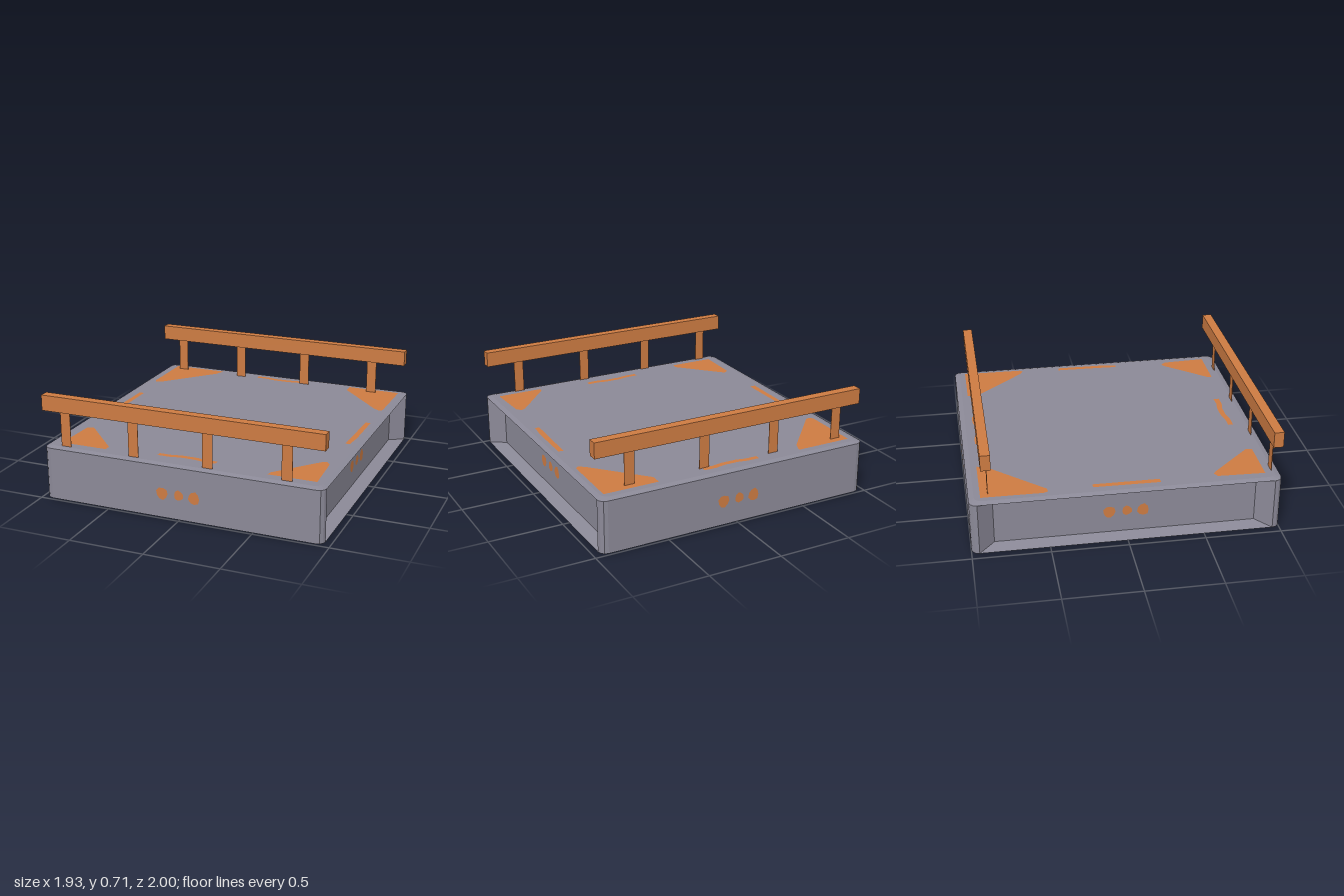
import * as THREE from 'three';

const HX = 0.962, HZ = 1, R = 0.05;       // half width, half length, corner radius
const Y0 = 0.01, Y1 = 0.362, TOP = 0.372; // wall bottom, wall top, deck height
const DEPTH = 0.095;                      // side recess depth

const grey = new THREE.MeshStandardMaterial({ color: 0x8b8997 });
grey.name = 'greyBody';
grey.flatShading = true;
const orange = new THREE.MeshStandardMaterial({ color: 0xcd7b42 });
orange.name = 'orangeTrim';

// Geometry from convex polygons, corners counter-clockwise from outside
function fromFaces(faces) {
  const pos = [];
  for (const f of faces) {
    for (let i = 1; i < f.length - 1; i++) pos.push(...f[0], ...f[i], ...f[i + 1]);
  }
  const g = new THREE.BufferGeometry();
  g.setAttribute('position', new THREE.Float32BufferAttribute(pos, 3));
  g.computeVertexNormals();
  return g;
}

// Rounded rectangle at one height, pulled in by inset
function ring(y, inset) {
  const pts = [];
  const signs = [[1, -1], [-1, -1], [-1, 1], [1, 1]];
  signs.forEach(([sx, sz], q) => {
    for (let s = 0; s <= 3; s++) {
      const a = (q + s / 3) * Math.PI / 2;
      const x = sx * (HX - R) + R * Math.cos(a);
      const z = sz * (HZ - R) - R * Math.sin(a);
      pts.push([x * (1 - inset / HX), y, z * (1 - inset / HZ)]);
    }
  });
  return pts;
}

// Outer shell with softened rims, left open at both sides
function shellGeometry() {
  const rings = [ring(0, 0.035), ring(Y0, 0), ring(Y1, 0), ring(TOP, 0.035)];
  const faces = [rings[3], [...rings[0]].reverse()];
  for (let l = 0; l < 3; l++) {
    const lo = rings[l], hi = rings[l + 1], n = lo.length;
    for (let i = 0; i < n; i++) {
      const j = (i + 1) % n;
      const isSide = Math.abs(lo[i][2] - lo[j][2]) > 1;
      if (l === 1 && isSide) continue;
      faces.push([lo[i], lo[j], hi[j], hi[i]]);
    }
  }
  return fromFaces(faces);
}

// Tapered recess filling the +x opening
function recessGeometry() {
  const rect = (x, y0, y1, z) => [[x, y0, z], [x, y0, -z], [x, y1, -z], [x, y1, z]];
  const o = rect(HX, Y0, Y1, HZ - R);
  const inner = rect(HX - DEPTH, 0.026, 0.346, 0.85);
  const faces = [inner];
  for (let k = 0; k < 4; k++) {
    const m = (k + 1) % 4;
    faces.push([o[k], o[m], inner[m], inner[k]]);
  }
  return fromFaces(faces);
}

function add(parent, name, geometry, material) {
  const m = new THREE.Mesh(geometry, material);
  m.name = name;
  parent.add(m);
  return m;
}

// Flat painted patch on the deck, points given as [x, z]
function deckPatch(parent, name, pts) {
  const shape = new THREE.Shape(pts.map(([x, z]) => new THREE.Vector2(x, -z)));
  const m = add(parent, name, new THREE.ShapeGeometry(shape), orange);
  m.rotation.x = -Math.PI / 2;
  m.position.y = TOP + 0.002;
}

// Three painted spots, facing +z before turning
function spots(parent, name, distance, angle) {
  const group = new THREE.Group();
  group.name = name;
  const data = [[-0.11, 0.175, 0.04, 0.042], [0.005, 0.177, 0.032, 0.035], [0.11, 0.174, 0.038, 0.043]];
  data.forEach(([x, y, rx, ry], i) => {
    const pts = [];
    for (let k = 0; k < 9; k++) {
      const a = k / 9 * Math.PI * 2 + i;
      const w = 1 + 0.08 * Math.sin(3 * a + i * 2);
      pts.push(new THREE.Vector2(rx * w * Math.cos(a), ry * w * Math.sin(a)));
    }
    const m = add(group, 'spot', new THREE.ShapeGeometry(new THREE.Shape(pts)), orange);
    m.position.set(x, y, distance + 0.002);
  });
  group.rotation.y = angle;
  parent.add(group);
}

// Long beam on four thin posts
function railing(name, beamZ, postZ) {
  const group = new THREE.Group();
  group.name = name;
  const beam = add(group, 'railBeam', new THREE.BoxGeometry(1.925, 0.105, 0.064), orange);
  beam.position.set(-0.007, 0.662, beamZ);
  for (const x of [-0.816, -0.329, 0.184, 0.708]) {
    const post = add(group, 'railPost', new THREE.BoxGeometry(0.07, 0.245, 0.003), orange);
    post.position.set(x, 0.49, postZ);
  }
  return group;
}

export function createModel() {
  const model = new THREE.Group();
  model.name = 'railedPlatform';

  // Body
  add(model, 'bodyShell', shellGeometry(), grey);
  const recess = recessGeometry();
  add(model, 'leftRecess', recess, grey);
  add(model, 'rightRecess', recess, grey).rotation.y = Math.PI;

  // Railings
  model.add(railing('frontRailing', 0.948, 0.952));
  model.add(railing('backRailing', -0.886, -0.876));

  // Corner patches
  deckPatch(model, 'backRightCorner', [[-0.89, -0.925], [-0.5, -0.925], [-0.53, -0.85], [-0.845, -0.505], [-0.88, -0.5], [-0.893, -0.53]]);
  deckPatch(model, 'backLeftCorner', [[0.53, -0.925], [0.905, -0.925], [0.9, -0.51], [0.88, -0.49], [0.84, -0.515], [0.55, -0.83], [0.53, -0.85]]);
  deckPatch(model, 'frontRightCorner', [[-0.865, 0.595], [-0.83, 0.575], [-0.805, 0.595], [-0.555, 0.86], [-0.555, 0.905], [-0.875, 0.905]]);
  deckPatch(model, 'frontLeftCorner', [[0.84, 0.575], [0.868, 0.61], [0.885, 0.905], [0.565, 0.905], [0.57, 0.87], [0.81, 0.59]]);

  // Edge stripes
  deckPatch(model, 'rightStripe', [[-0.875, -0.215], [-0.84, -0.215], [-0.84, 0.22], [-0.88, 0.22]]);
  deckPatch(model, 'leftStripe', [[0.86, -0.22], [0.895, -0.215], [0.893, 0.1], [0.88, 0.225], [0.85, 0.22], [0.855, 0.05]]);
  const wave = [[-0.2, 0.835], [-0.12, 0.835], [-0.05, 0.82], [0.06, 0.82], [0.12, 0.832], [0.2, 0.83],
    [0.2, 0.868], [0.12, 0.87], [0.05, 0.856], [-0.05, 0.856], [-0.12, 0.87], [-0.2, 0.87]];
  deckPatch(model, 'frontStripe', wave);
  deckPatch(model, 'backStripe', wave.map(([x, z]) => [x, -z - 0.045]));

  // Wall spots
  spots(model, 'frontSpots', HZ, 0);
  spots(model, 'backSpots', HZ, Math.PI);
  spots(model, 'leftSpots', HX - DEPTH, Math.PI / 2);
  spots(model, 'rightSpots', HX - DEPTH, -Math.PI / 2);

  return model;
}
